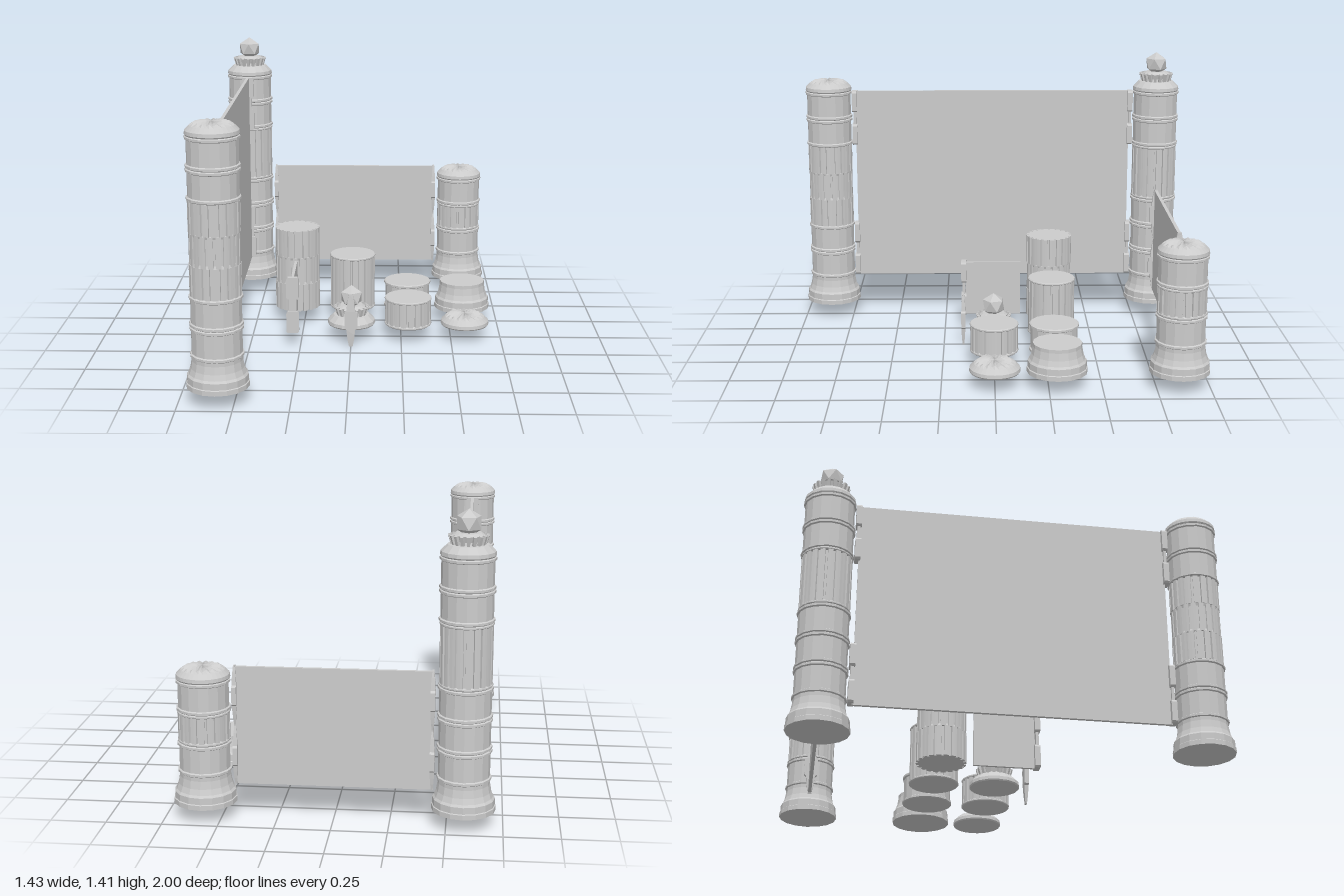
import * as THREE from 'three';

const mat = new THREE.MeshStandardMaterial({ color: 0xcccccc, flatShading: true });
const R = 0.115, H = 0.142, FLOOR = 0.07;

function mesh(name, geo, y = 0) {
  const m = new THREE.Mesh(geo, mat);
  m.name = name;
  m.position.y = y;
  return m;
}

function group(name, ...children) {
  const g = new THREE.Group();
  g.name = name;
  g.add(...children);
  return g;
}

const lathe = (pts, sides = 16) =>
  new THREE.LatheGeometry(pts.map(([r, y]) => new THREE.Vector2(r, y)), sides);

// Flared foot with a concave neck
function base() {
  return mesh('columnBase', lathe([[0, 0], [0.142, 0], [0.142, 0.022], [0.138, 0.025], [0.138, 0.055],
    [0.13, 0.065], [0.121, 0.09], [R, 0.125], [R, H], [0, H]]));
}

// Plain drum with a raised band at each end
function drum() {
  return mesh('plainDrum', lathe([[0, 0], [0.115, 0], [0.121, 0.004], [0.121, 0.014], [0.114, 0.018],
    [0.114, H - 0.018], [0.121, H - 0.014], [0.121, H - 0.004], [0.115, H], [0, H]]));
}

// Shaft with square grooves, cut by an extruded gear outline
function flutes(height, radius = R, turn = 0) {
  const n = 20, shape = new THREE.Shape();
  for (let i = 0; i < n; i++) {
    [[0, radius], [0.33, radius], [0.66, radius], [0.68, radius - 0.011], [0.98, radius - 0.011]].forEach(([f, r], k) => {
      const a = (i + f + turn) / n * Math.PI * 2;
      shape[i + k ? 'lineTo' : 'moveTo'](r * Math.cos(a), r * Math.sin(a));
    });
  }
  const geo = new THREE.ExtrudeGeometry(shape, { depth: height, bevelEnabled: false });
  return geo.rotateX(-Math.PI / 2);
}

// Grooved drum closed by thin end bands
function flutedDrum(units = 1) {
  const h = H * units;
  const band = () => lathe([[0, 0], [0.114, 0], [0.118, 0.004], [0.118, 0.01], [0.114, 0.014], [0, 0.014]], 20);
  return group('flutedDrum', mesh('flutes', flutes(h - 0.02), 0.01),
    mesh('lowerBand', band()), mesh('upperBand', band(), h - 0.014));
}

// Three-part grooved shaft with a slimmer, staggered middle
function triplePillar() {
  const taper = lathe([[0, 0], [0.112, 0], [0.108, 0.012], [0.108, H - 0.012], [0.112, H], [0, H]], 20);
  return group('tripleFlutedShaft', mesh('lowerFlutes', flutes(H)), mesh('middleCore', taper, H),
    mesh('middleFlutes', flutes(H, 0.113, 0.5), H), mesh('upperFlutes', flutes(H), 2 * H));
}

// Low domed cap with radial creases
function cap() {
  const geo = lathe([[0, 0], [0.116, 0], [0.12, 0.006], [0.118, 0.022], [0.098, 0.042], [0.078, 0.056],
    [0.05, 0.06], [0.02, 0.06], [0, 0.058]], 32);
  const p = geo.attributes.position;
  for (let i = 0; i < p.count; i++) {
    const r = Math.hypot(p.getX(i), p.getZ(i));
    const spoke = Math.round(Math.atan2(p.getZ(i), p.getX(i)) / Math.PI * 16) & 1;
    if (spoke && r > 0.015 && r < 0.09 && p.getY(i) > 0.03) p.setY(i, p.getY(i) - 0.008);
  }
  return mesh('domedCap', geo);
}

// Ribbed crown carrying a faceted gem
function finial() {
  const g = group('finial', mesh('finialBase', lathe([[0, 0], [0.116, 0], [0.12, 0.006], [0.118, 0.022],
    [0.09, 0.05], [0.066, 0.052], [0.062, 0.065], [0.07, 0.09], [0.055, 0.1], [0, 0.1]])));
  const n = 18;
  for (let i = 0; i < n; i++) {
    const rib = new THREE.BoxGeometry(0.014, 0.042, 0.014).rotateX(0.3).translate(0, 0.072, 0.075);
    g.add(mesh('crownRib', rib.rotateY(i / n * Math.PI * 2)));
  }
  const gem = mesh('gem', new THREE.IcosahedronGeometry(0.06, 0), 0.14);
  gem.rotation.x = -Math.atan((1 + Math.sqrt(5)) / 2);
  g.add(gem);
  return g;
}

// Mirrored outline from (half width, y) pairs, extruded about z = 0
function plate(pairs, depth) {
  const pts = [...pairs, ...pairs.map(([w, y]) => [-w, y]).reverse()];
  const shape = new THREE.Shape(pts.map(([x, y]) => new THREE.Vector2(x, y)));
  return new THREE.ExtrudeGeometry(shape, { depth, bevelEnabled: false }).translate(0, 0, -depth / 2);
}

// Spindle clip: tapering tips and a wider middle, lens-shaped in depth
function spindleClip() {
  const half = [[0.009, 0], [0.015, 0.03], [0.019, 0.06], [0.022, 0.088], [0.032, 0.096]];
  const geo = plate([...half, ...half.map(([w, y]) => [w, 0.27 - y]).reverse()], 0.022);
  const p = geo.attributes.position;
  for (let i = 0; i < p.count; i++) {
    const t = (p.getY(i) - 0.135) / 0.135;
    p.setZ(i, p.getZ(i) * (1 - 0.65 * t * t));
  }
  return mesh('spindleClip', geo);
}

// Block clip: two stout jaws joined by a slim bridge
function blockClip() {
  const jaw = [[0.024, 0], [0.031, 0.008], [0.031, 0.1], [0.024, 0.11]];
  return group('blockClip', mesh('lowerJaw', plate(jaw, 0.026)), mesh('upperJaw', plate(jaw, 0.026), 0.175),
    mesh('bridge', plate([[0.02, 0], [0.02, 0.285]], 0.014)));
}

function wall(name, w, h, d, x, y, z) {
  const m = mesh(name, new THREE.BoxGeometry(w, h, d), y + h / 2);
  m.position.x = x;
  m.position.z = z;
  return m;
}

export function createModel() {
  const model = new THREE.Group();
  model.name = 'columnKit';
  const put = (part, x, y, z, turn = 0) => {
    part.position.set(x, y, z);
    part.rotation.y = turn;
    model.add(part);
  };

  // Stack of [part, height] pairs
  const column = (name, x, z, parts) => {
    const g = new THREE.Group();
    g.name = name;
    let y = 0;
    for (const [make, units] of parts) {
      const part = make();
      part.position.y = y;
      y += units * H;
      g.add(part);
    }
    put(g, x, FLOOR, z);
  };
  const B = [base, 1], D = [drum, 1], F = [flutedDrum, 1], T = [() => flutedDrum(2), 2], P = [triplePillar, 3];
  column('cornerColumn', -0.575, -0.86, [B, D, D, D, T, D, D, [finial, 0]]);
  column('frontColumn', -0.575, 0.86, [B, D, D, P, D, D, [cap, 0]]);
  column('shortColumn', 0.575, -0.86, [B, D, F, D, [cap, 0]]);

  // Walls and the clips holding them
  model.add(wall('tallWall', 0.016, 1, 1.44, -0.575, 0.205, 0));
  model.add(wall('lowWall', 0.88, 0.54, 0.016, 0, 0.155, -0.86));
  for (const s of [-1, 1]) {
    for (const y of [0.21, 0.92]) put(blockClip(), -0.575, y, s * 0.725);
    for (const y of [0.152, 0.43]) put(spindleClip(), s * 0.435, y, -0.86, Math.PI / 2);
  }

  // Loose parts laid out between the walls
  put(triplePillar(), -0.287, FLOOR, -0.29);
  put(flutedDrum(2), 0, FLOOR, -0.29);
  put(drum(), 0.285, FLOOR, -0.29);
  put(base(), 0.57, FLOOR, -0.29);
  put(finial(), 0, FLOOR, 0);
  put(flutedDrum(), 0.285, FLOOR, 0);
  put(cap(), 0.57, FLOOR, 0);
  model.add(wall('samplePanel', 0.014, 0.28, 0.285, -0.287, FLOOR, 0));
  put(blockClip(), -0.287, FLOOR, 0.152);
  put(spindleClip(), 0, 0, 0.152);
  return model;
}
